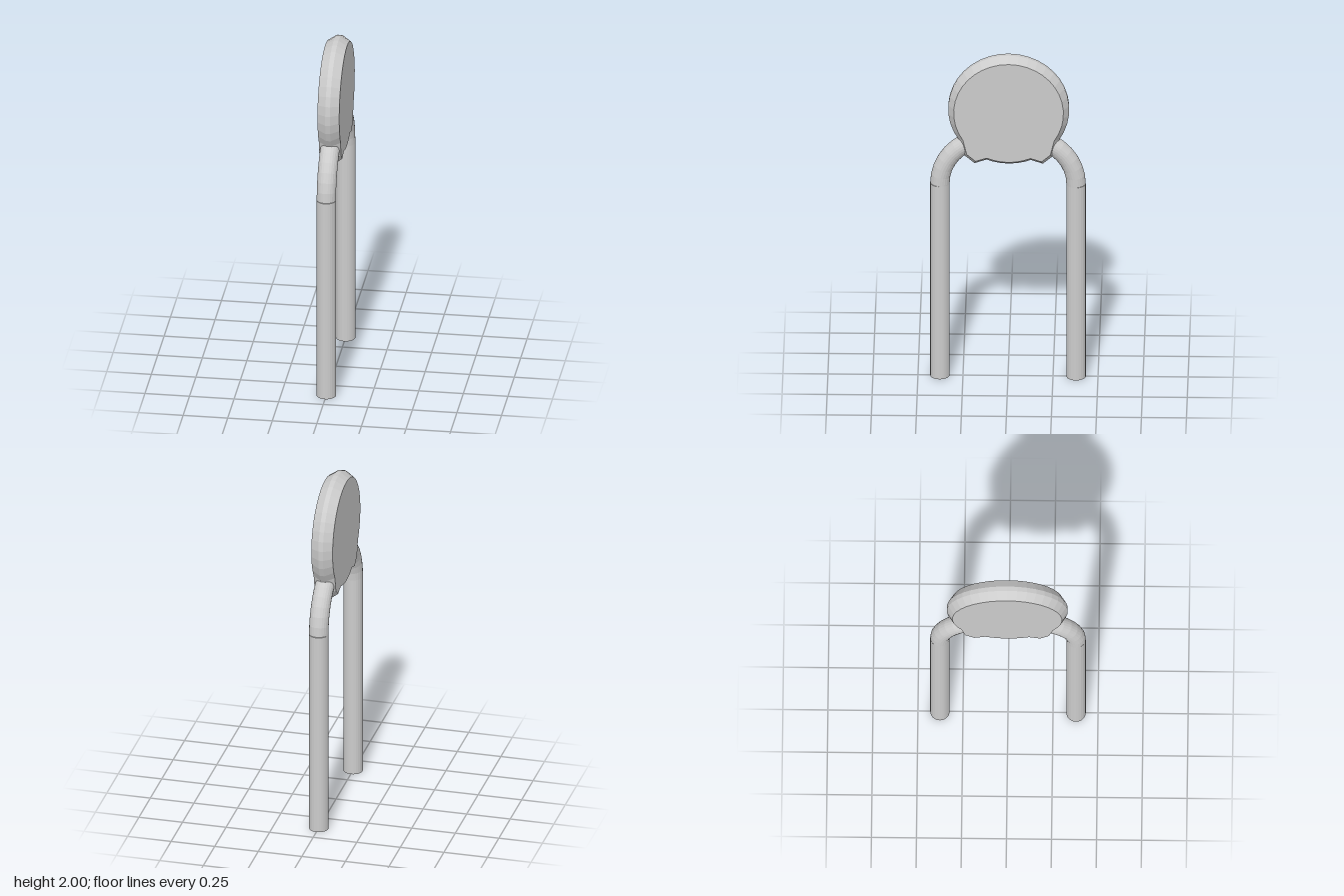
import * as THREE from 'three';

const material = new THREE.MeshStandardMaterial({ color: 0xcccccc, flatShading: true });
const LEAD_RADIUS = 0.054, LEAD_Z = 0.378, BEND_Y = 1.2, BEND_RADIUS = 0.283;

function addMesh(parent, name, geometry) {
  const mesh = new THREE.Mesh(geometry, material);
  mesh.name = name;
  parent.add(mesh);
  return mesh;
}

// Points along a circular arc about the disc centre
function arcPoints(radius, from, to, steps) {
  return Array.from({ length: steps + 1 }, (_, i) => {
    const a = from + (to - from) * i / steps;
    return new THREE.Vector2(radius * Math.cos(a), radius * Math.sin(a));
  });
}

// Flat disc with a bevelled rim and two small shoulders where the leads enter
function discGeometry() {
  const start = THREE.MathUtils.degToRad(-34);
  const bottom = THREE.MathUtils.degToRad(-66.5);
  const shoulder = [[0.232, -0.258], [0.183, -0.3]];
  const outline = [
    ...arcPoints(0.305, start, Math.PI - start, 26),
    ...shoulder.map(([x, y]) => new THREE.Vector2(-x, y)),
    ...arcPoints(0.305, -Math.PI - bottom, bottom, 6),
    ...shoulder.slice().reverse().map(([x, y]) => new THREE.Vector2(x, y)),
  ];
  const depth = 0.026;
  return new THREE.ExtrudeGeometry(new THREE.Shape(outline), {
    depth, bevelEnabled: true, bevelSize: 0.031, bevelThickness: 0.048, bevelSegments: 1,
  }).translate(0, 0, -depth / 2).rotateY(Math.PI / 2);
}

// Straight wire with a bend that runs into the disc
function makeLead(side) {
  const lead = new THREE.Group();
  lead.name = side > 0 ? 'frontLead' : 'backLead';
  const straight = addMesh(lead, 'straightWire',
    new THREE.CylinderGeometry(LEAD_RADIUS, LEAD_RADIUS, BEND_Y, 24));
  straight.position.set(0, BEND_Y / 2, side * LEAD_Z);

  const points = [];
  for (let i = 0; i <= 8; i++) {
    const a = THREE.MathUtils.degToRad(60) * i / 8;
    points.push(new THREE.Vector3(0,
      BEND_Y + BEND_RADIUS * Math.sin(a),
      side * (LEAD_Z - BEND_RADIUS * (1 - Math.cos(a)))));
  }
  addMesh(lead, 'bentWire',
    new THREE.TubeGeometry(new THREE.CatmullRomCurve3(points), 6, LEAD_RADIUS, 24));
  return lead;
}

export function createModel() {
  const model = new THREE.Group();
  model.name = 'discComponent';
  addMesh(model, 'discBody', discGeometry()).position.set(0, 1.664, -0.004);
  for (const side of [1, -1]) model.add(makeLead(side));
  return model;
}
